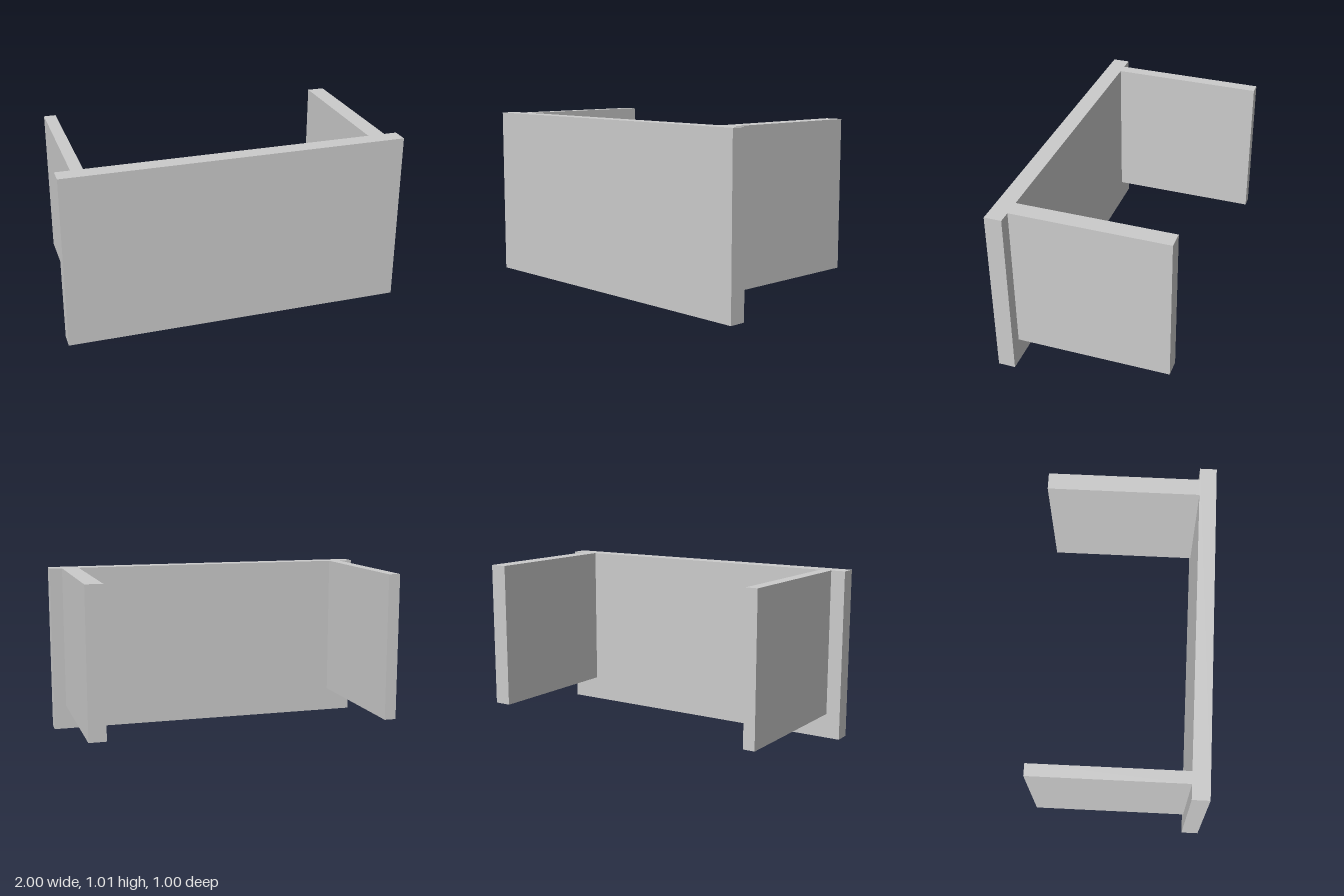
import * as THREE from 'three';

const TOP = 1.015;

// Box panel given by its lower and upper corners
function panel(name, [x0, y0, z0], [x1, y1, z1], material) {
  const mesh = new THREE.Mesh(new THREE.BoxGeometry(x1 - x0, y1 - y0, z1 - z0), material);
  mesh.position.set((x0 + x1) / 2, (y0 + y1) / 2, (z0 + z1) / 2);
  mesh.name = name;
  return mesh;
}

export function createModel() {
  const group = new THREE.Group();
  group.name = 'panelStand';
  const material = new THREE.MeshStandardMaterial({ color: 0xcccccc });

  group.add(
    // Wide front board reaching the ground
    panel('frontPanel', [-1, 0, 0.4], [1, TOP, 0.5], material),
    // Raised side boards behind it, the left one thicker
    panel('leftSidePanel', [0.823, 0.147, -0.5], [0.925, TOP, 0.4], material),
    panel('rightSidePanel', [-0.914, 0.147, -0.5], [-0.844, TOP, 0.4], material),
  );
  return group;
}
